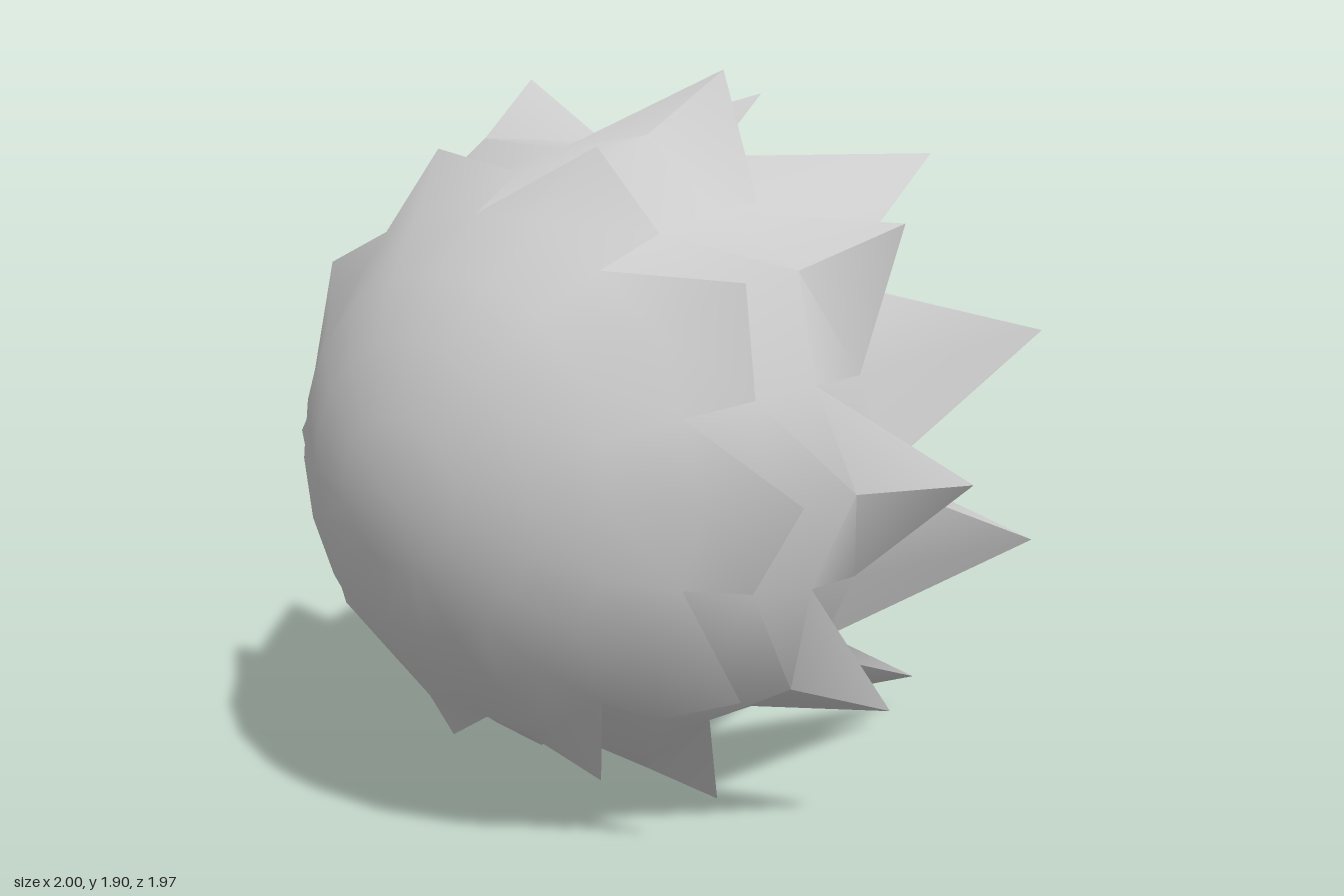
import * as THREE from 'three';
import { toCreasedNormals } from 'three/addons/utils/BufferGeometryUtils.js';

const SEG = 20;             // columns around the z axis
const RADIUS = 0.78;        // body sphere
const CENTRE_Z = 0.205;
const CENTRE_Y = 0.951;

// Every ring is a pair of [radius, z] points: even columns, odd columns
const ring = (even, odd = even) => [even, odd];

// Point k of the sphere profile, counted from the front pole
function sphere(k) {
  const t = (k * Math.PI) / 14;
  return [RADIUS * Math.sin(t), CENTRE_Z + RADIUS * Math.cos(t)];
}

// Joins rings into a shell. With slit = true each spike of the last strip is
// left free on one side, so it lifts off the body like a scale.
function shell(name, rings, slit, material) {
  const positions = [];
  const index = [];
  for (const points of rings) {
    for (let i = 0; i < SEG; i++) {
      const [r, z] = points[i % 2];
      const a = (i / SEG) * Math.PI * 2;
      positions.push(r * Math.cos(a), r * Math.sin(a), z);
    }
  }
  for (let k = 0; k < rings.length - 1; k++) {
    const startsAtPole = rings[k][0][0] === 0;
    const endsAtPole = rings[k + 1][0][0] === 0;
    const slitStrip = slit && k === rings.length - 2;
    for (let i = 0; i < SEG; i++) {
      const inA = k * SEG + i, inB = k * SEG + ((i + 1) % SEG);
      const outA = inA + SEG, outB = inB + SEG;
      if (!startsAtPole) index.push(inA, outA, inB);
      if (!endsAtPole && !(slitStrip && i % 2 === 0)) index.push(outA, outB, inB);
    }
  }
  const geometry = new THREE.BufferGeometry();
  geometry.setAttribute('position', new THREE.Float32BufferAttribute(positions, 3));
  geometry.setIndex(index);
  const mesh = new THREE.Mesh(toCreasedNormals(geometry, 0.9), material);
  mesh.name = name;
  mesh.position.y = CENTRE_Y;
  return mesh;
}

export function createModel() {
  const group = new THREE.Group();
  group.name = 'spikedBall';
  const material = new THREE.MeshStandardMaterial({ color: 0xcccccc, side: THREE.DoubleSide });

  // Rounded front with a collar of short spikes
  group.add(shell('frontCap', [
    ring([0, CENTRE_Z + RADIUS]), ring(sphere(1)), ring(sphere(2)), ring(sphere(3)),
    ring([0.63, 0.69], sphere(4)),
    ring([0.8, 0.555], sphere(5)),
  ], true, material));

  // Wider collar around the middle
  group.add(shell('middleSpikes', [
    ring(sphere(4)), ring(sphere(5)),
    ring([0.83, 0.375], sphere(6)),
    ring([1.0, 0.13], sphere(7)),
  ], true, material));

  // Long spikes set between those of the collar
  group.add(shell('outerRearSpikes', [
    ring(sphere(6)), ring(sphere(7)),
    ring([0.757, 0.09], [0.935, -0.55]),
  ], false, material));

  // Longest spikes, leaning inwards, with a hollow back between them
  group.add(shell('innerRearSpikes', [
    ring([0.7, 0.42]),
    ring([0.35, -0.985], [0.69, 0.27]),
    ring([0.45, 0.2]),
    ring([0, 0.2]),
  ], false, material));

  return group;
}
